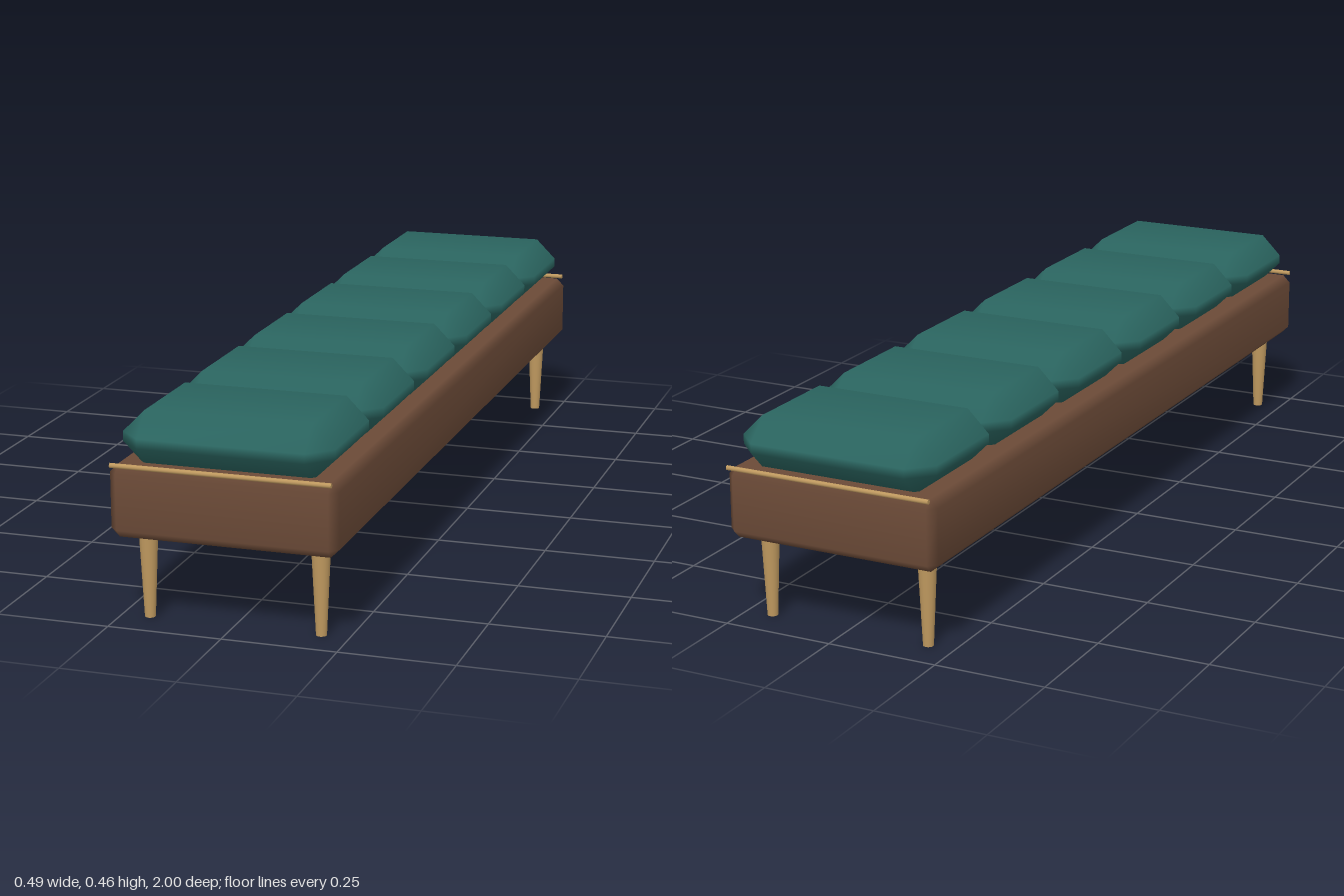
import * as THREE from 'three';
import { ConvexGeometry } from 'three/addons/geometries/ConvexGeometry.js';
import { mergeVertices } from 'three/addons/utils/BufferGeometryUtils.js';

const leather = new THREE.MeshStandardMaterial({ color: 0x6b4a37 });
const velvet = new THREE.MeshStandardMaterial({ color: 0x2a645f });
const wood = new THREE.MeshStandardMaterial({ color: 0xbf995f });

// Box with every edge chamfered by c, shaded smoothly across the chamfers
function chamferBox(w, h, d, c) {
  const points = [];
  for (const sx of [-1, 1]) for (const sy of [-1, 1]) for (const sz of [-1, 1]) {
    for (let axis = 0; axis < 3; axis++) {
      const p = [w / 2 - c, h / 2 - c, d / 2 - c];
      p[axis] += c;
      points.push(new THREE.Vector3(p[0] * sx, p[1] * sy, p[2] * sz));
    }
  }
  const hull = new ConvexGeometry(points);
  hull.deleteAttribute('normal');
  const geometry = mergeVertices(hull, 1e-5);
  geometry.computeVertexNormals();
  return geometry;
}

export function createModel() {
  const model = new THREE.Group();
  model.name = 'bench';

  function add(name, geometry, material, x, y, z) {
    const mesh = new THREE.Mesh(geometry, material);
    mesh.name = name;
    mesh.position.set(x, y, z);
    model.add(mesh);
    return mesh;
  }

  // Upholstered base
  add('base', chamferBox(0.494, 0.157, 1.982, 0.018), leather, 0, 0.2685, 0);

  // Row of six cushions, slightly sunk into the base
  const cushion = chamferBox(0.458, 0.119, 0.325, 0.049);
  for (let i = 0; i < 6; i++) {
    add(`cushion${i + 1}`, cushion, velvet, 0, 0.3975, (i - 2.5) * 0.3315);
  }

  // Thin rods along the top edge of both ends
  const rod = new THREE.CylinderGeometry(0.0055, 0.0055, 0.476, 8);
  rod.rotateZ(Math.PI / 2);
  add('frontTrimRod', rod, wood, 0, 0.3485, 0.9945);
  add('backTrimRod', rod, wood, 0, 0.3485, -0.9945);

  // Tapered legs
  const leg = new THREE.CylinderGeometry(0.0205, 0.0115, 0.192, 16);
  for (const [side, sx] of [['Left', 1], ['Right', -1]]) {
    for (const [end, sz] of [['front', 1], ['back', -1]]) {
      add(`${end}${side}Leg`, leg, wood, sx * 0.189, 0.096, sz * 0.915);
    }
  }

  return model;
}
